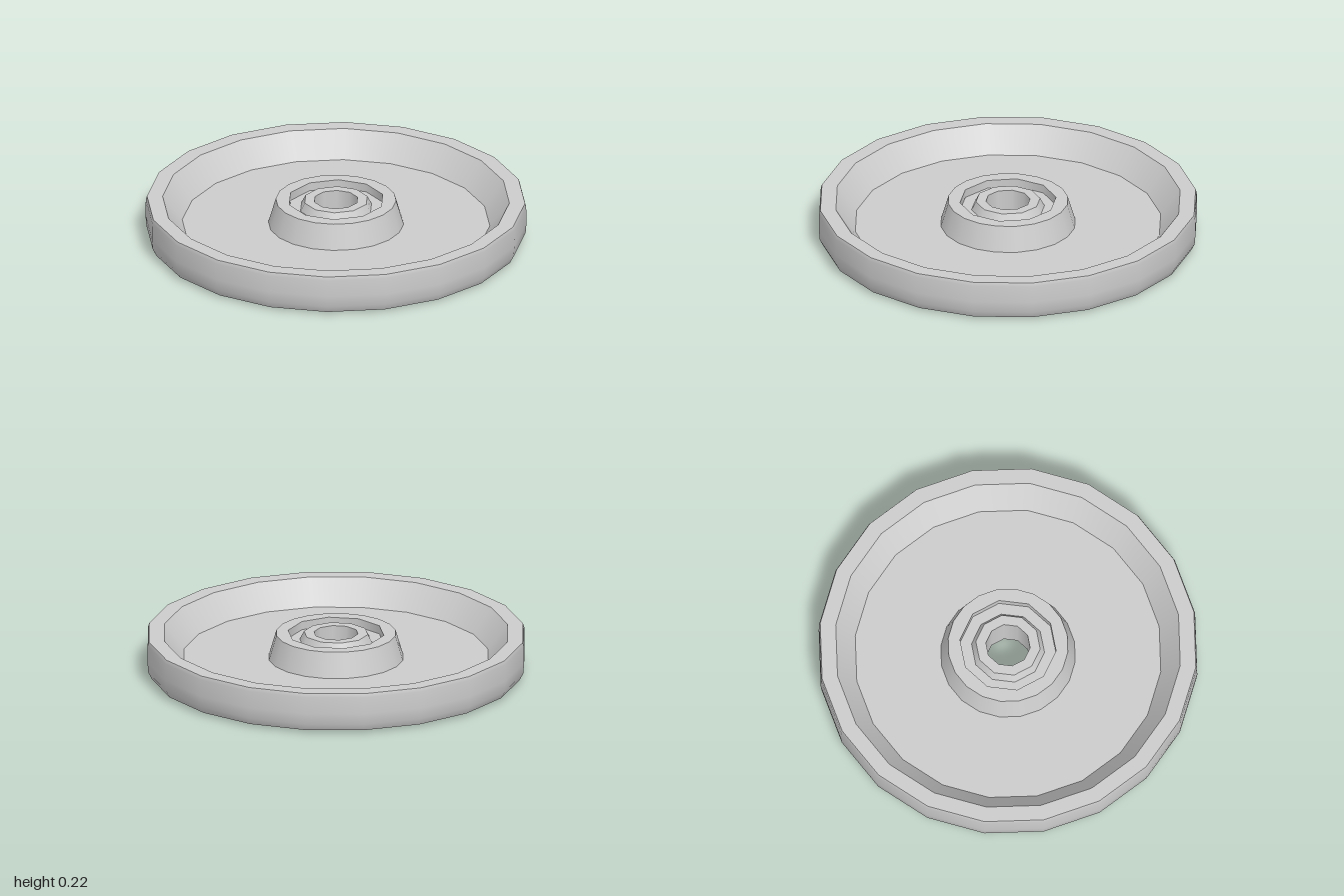
import * as THREE from 'three';

const OUTER_SIDES = 20;
const BORE_SIDES = 10;

export function createModel() {
  const group = new THREE.Group();
  const grey = new THREE.MeshStandardMaterial({ color: 0xcccccc });
  grey.name = 'plain grey';

  const add = (name, geometry) => {
    const mesh = new THREE.Mesh(geometry, grey);
    mesh.name = name;
    group.add(mesh);
  };

  // One smooth band of revolution; profile runs anticlockwise around the solid
  const band = (name, sides, ...profile) =>
    add(name, new THREE.LatheGeometry(profile.map(([r, y]) => new THREE.Vector2(r, y)), sides));

  // Regular polygon with a corner on the z axis
  const polygon = (r, sides) => Array.from({ length: sides }, (_, i) => {
    const a = (i / sides) * Math.PI * 2;
    return new THREE.Vector2(r * Math.sin(a), r * Math.cos(a));
  });

  // Flat annulus between the many-sided wheel and the coarser bore
  const annulus = (name, outer, inner, y, facing) => {
    const shape = new THREE.Shape(polygon(outer, OUTER_SIDES));
    shape.holes.push(new THREE.Path(polygon(inner, BORE_SIDES)));
    const geometry = new THREE.ShapeGeometry(shape);
    geometry.rotateX(-facing * Math.PI / 2);
    geometry.translate(0, y, 0);
    add(name, geometry);
  };

  // Wheel rim and dished web
  band('bottomBevel', OUTER_SIDES, [0.91, 0], [0.975, 0.012]);
  band('tread', OUTER_SIDES, [0.975, 0.012], [0.995, 0.05], [1, 0.11], [0.998, 0.2], [0.992, 0.22]);
  band('rimTop', OUTER_SIDES, [0.992, 0.22], [0.91, 0.22]);
  band('rimInnerWall', OUTER_SIDES, [0.91, 0.22], [0.807, 0.087]);
  band('web', OUTER_SIDES, [0.807, 0.087], [0.355, 0.087]);

  // Central hub
  band('hubWall', OUTER_SIDES, [0.355, 0.087], [0.316, 0.22]);
  annulus('hubTop', 0.316, 0.254, 0.22, 1);
  annulus('underside', 0.91, 0.254, 0, -1);

  // Recess and bushing, on the top and the underside
  band('topRecessWall', BORE_SIDES, [0.254, 0.22], [0.254, 0.175]);
  band('topRecessFloor', BORE_SIDES, [0.254, 0.175], [0.193, 0.175]);
  band('topBushingCone', BORE_SIDES, [0.193, 0.175], [0.17, 0.22]);
  band('topBushingFace', BORE_SIDES, [0.17, 0.22], [0.117, 0.22]);
  band('axleHole', BORE_SIDES, [0.117, 0.22], [0.117, 0]);
  band('bottomBushingFace', BORE_SIDES, [0.117, 0], [0.17, 0]);
  band('bottomBushingCone', BORE_SIDES, [0.17, 0], [0.193, 0.045]);
  band('bottomRecessFloor', BORE_SIDES, [0.193, 0.045], [0.254, 0.045]);
  band('bottomRecessWall', BORE_SIDES, [0.254, 0.045], [0.254, 0]);

  return group;
}
